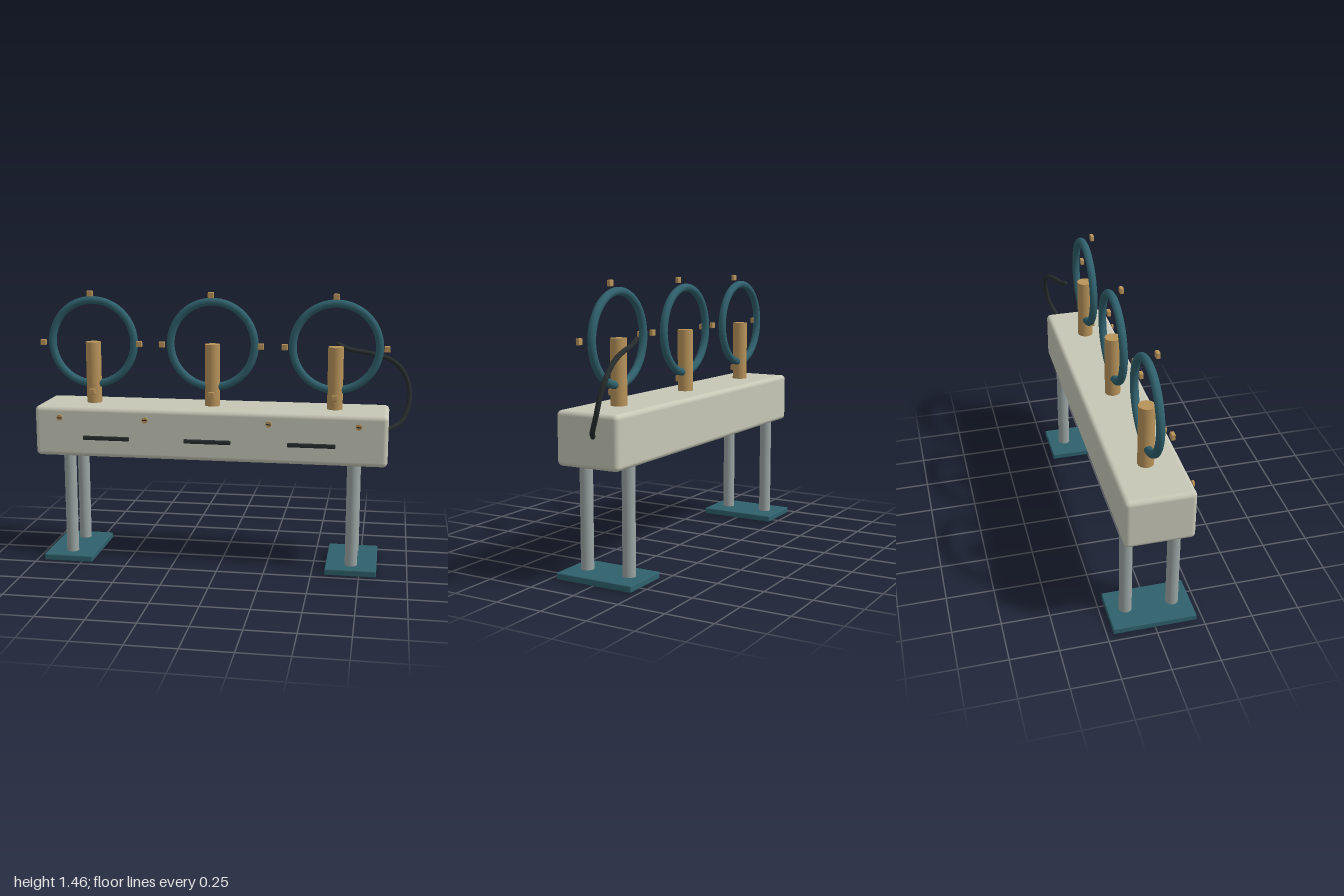
import * as THREE from 'three';
import { RoundedBoxGeometry } from 'three/addons/geometries/RoundedBoxGeometry.js';

const material = (name, color) => {
  const m = new THREE.MeshStandardMaterial({ color });
  m.name = name;
  return m;
};

export function createModel() {
  const group = new THREE.Group();
  const cream = material('cream enamel', 0xc6c7b6);
  const teal = material('teal paint', 0x2f606c);
  const brass = material('brass', 0xb8935a);
  const steel = material('grey steel', 0x9aa5a3);
  const dark = material('dark rubber', 0x272d2e);

  const add = (name, geometry, mat, x, y, z) => {
    const mesh = new THREE.Mesh(geometry, mat);
    mesh.name = name;
    mesh.position.set(x, y, z);
    group.add(mesh);
    return mesh;
  };
  const rounded = (w, h, d, r) => new RoundedBoxGeometry(w, h, d, 4, r);

  // Long housing
  add('housing', rounded(1.88, 0.27, 0.35, 0.025), cream, -0.06, 0.715, 0);

  // Two feet, each with a pair of legs
  for (const x of [-0.825, 0.705]) {
    add('foot', rounded(0.27, 0.034, 0.434, 0.006), teal, x, 0.017, 0);
    for (const z of [-0.123, 0.123]) {
      add('leg', new THREE.CylinderGeometry(0.033, 0.033, 0.56, 32), steel, x, 0.31, z);
    }
  }

  // Three posts with rings and four clips around each ring
  const ringY = 1.178;
  for (const x of [-0.715, -0.06, 0.595]) {
    add('post', new THREE.CylinderGeometry(0.041, 0.041, 0.34, 32), brass, x, 1.01, 0);
    add('ring', new THREE.TorusGeometry(0.227, 0.021, 16, 64), teal, x, ringY, 0);
    for (let i = 0; i < 4; i++) {
      const a = (i * Math.PI) / 2;
      add('ringClip', rounded(0.032, 0.032, 0.02, 0.004), brass,
        x + 0.265 * Math.cos(a), ringY + 0.265 * Math.sin(a), 0.044);
    }
  }

  // Front vent slots
  for (const x of [-0.607, -0.06, 0.487]) {
    add('ventSlot', rounded(0.25, 0.022, 0.016, 0.005), dark, x, 0.686, 0.179);
  }

  // Slotted screws standing off the front face
  for (const x of [-0.855, -0.39, 0.265, 0.73]) {
    const screw = add('screw', new THREE.CylinderGeometry(0.016, 0.016, 0.01, 24), brass, x, 0.795, 0.195);
    screw.rotation.x = Math.PI / 2;
    add('screwSlot', new THREE.BoxGeometry(0.024, 0.005, 0.003), dark, x, 0.795, 0.2005);
  }

  // Cable looping from the end of the housing to behind the last post
  const points = [
    [0.875, 0.738, -0.037], [0.945, 0.775, -0.083], [0.982, 0.86, -0.13],
    [0.981, 0.95, -0.153], [0.94, 1.045, -0.165], [0.87, 1.1, -0.158],
    [0.76, 1.133, -0.135], [0.66, 1.153, -0.117], [0.6, 1.18, -0.109],
  ].map((p) => new THREE.Vector3(...p));
  const radius = 0.0125;
  add('cable', new THREE.TubeGeometry(new THREE.CatmullRomCurve3(points), 64, radius, 12), dark, 0, 0, 0);
  for (const end of [points[0], points[points.length - 1]]) {
    add('cableEnd', new THREE.SphereGeometry(radius, 12, 8), dark, end.x, end.y, end.z);
  }

  return group;
}
